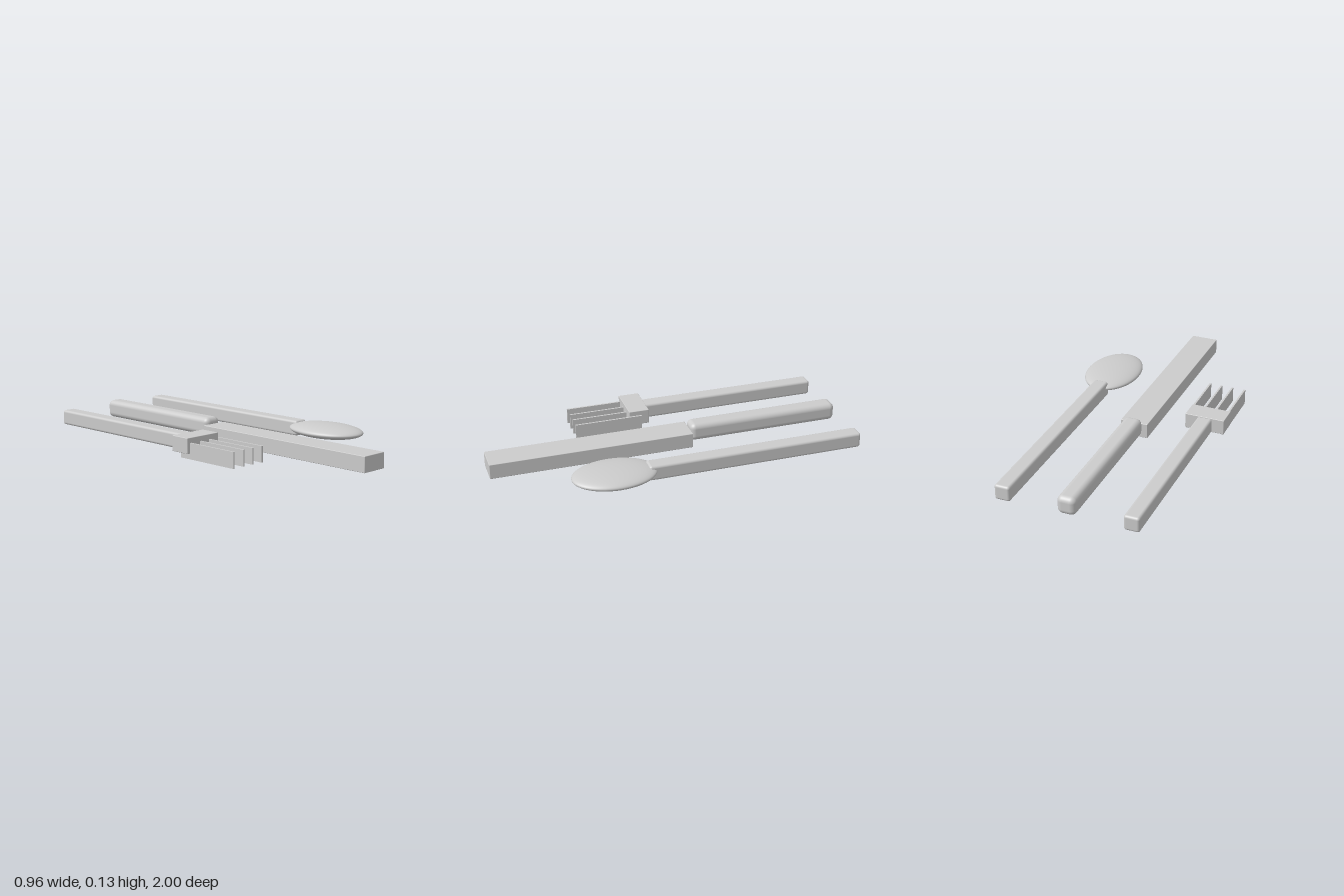
import * as THREE from 'three';
import { RoundedBoxGeometry } from 'three/addons/geometries/RoundedBoxGeometry.js';

const material = new THREE.MeshStandardMaterial({ color: 0xcccccc });

// Box given by its [min, max] range on each axis, with an optional edge radius
function bar(name, [x0, x1], [y0, y1], [z0, z1], radius = 0) {
  const size = [x1 - x0, y1 - y0, z1 - z0];
  const geometry = radius
    ? new RoundedBoxGeometry(...size, 5, radius)
    : new THREE.BoxGeometry(...size);
  const mesh = new THREE.Mesh(geometry, material);
  mesh.name = name;
  mesh.position.set((x0 + x1) / 2, (y0 + y1) / 2, (z0 + z1) / 2);
  return mesh;
}

function group(name, ...parts) {
  const g = new THREE.Group();
  g.name = name;
  return g.add(...parts);
}

export function createModel() {
  // Fork: slim handle, cross block and four thin upright tines
  const tines = [-0.459, -0.387, -0.322, -0.254].map((x, i) =>
    bar('forkTine' + (i + 1), [x - 0.005, x + 0.005], [0.001, 0.088], [0.07, 0.455]));
  const fork = group('fork',
    bar('forkHandle', [-0.413, -0.329], [0.026, 0.11], [-1, 0.04], 0.014),
    bar('forkHead', [-0.482, -0.26], [0.031, 0.115], [0.024, 0.14], 0.003),
    ...tines);

  // Knife: rounded handle and a plain block blade
  const knife = group('knife',
    bar('knifeHandle', [-0.075, 0.027], [0.027, 0.128], [-1, -0.133], 0.03),
    bar('knifeBlade', [-0.101, 0.054], [0.008, 0.093], [-0.135, 1], 0.003));

  // Spoon: slim handle running into a flattened ellipsoid bowl
  const bowl = new THREE.Mesh(new THREE.SphereGeometry(1, 48, 32), material);
  bowl.name = 'spoonBowl';
  bowl.scale.set(0.155, 0.038, 0.23);
  bowl.position.set(0.324, 0.08, 0.392);
  const spoon = group('spoon',
    bar('spoonHandle', [0.281, 0.366], [0.026, 0.111], [-1, 0.212], 0.014),
    bowl);

  return group('cutlerySet', fork, knife, spoon);
}
